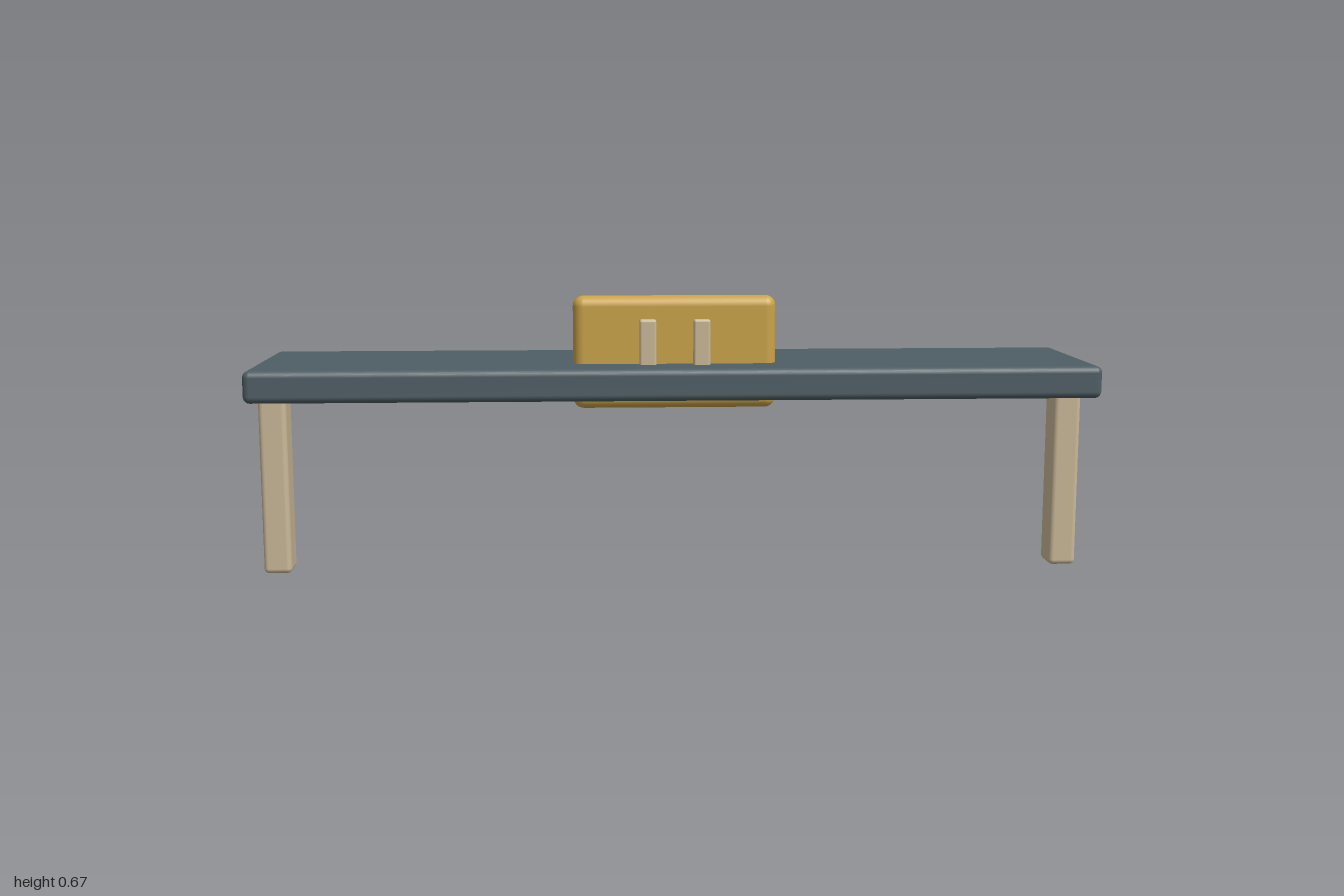
import * as THREE from 'three';
import { RoundedBoxGeometry } from 'three/addons/geometries/RoundedBoxGeometry.js';

export function createModel() {
  const model = new THREE.Group();
  model.name = 'bench';

  const material = (name, color) => {
    const m = new THREE.MeshStandardMaterial({ color });
    m.name = name;
    return m;
  };
  const slate = material('slate', 0x4f5e65);
  const gold = material('gold', 0xcaa347);
  const beige = material('beige', 0xcab998);

  // Rounded block given by its lower and upper corners
  const block = (name, mat, min, max, radius) => {
    const size = max.map((v, i) => v - min[i]);
    const mesh = new THREE.Mesh(new RoundedBoxGeometry(...size, 4, radius), mat);
    mesh.position.set(...max.map((v, i) => (v + min[i]) / 2));
    mesh.name = name;
    model.add(mesh);
  };

  // Long top board
  block('topBoard', slate, [-1, 0.429, -0.219], [1, 0.505, 0.219], 0.016);

  // Upright panel passing through the board
  block('panel', gold, [-0.243, 0.397, 0.059], [0.24, 0.666, 0.11], 0.025);

  // Two small pegs in front of the panel
  for (const [name, x] of [['rightPeg', -0.066], ['leftPeg', 0.062]]) {
    block(name, beige, [x - 0.02, 0.46, 0.109], [x + 0.02, 0.612, 0.136], 0.006);
  }

  // One leg at each end, set forward of the middle
  for (const [name, x] of [['rightLeg', -0.957], ['leftLeg', 0.953]]) {
    block(name, beige, [x - 0.033, 0, 0.021], [x + 0.033, 0.45, 0.099], 0.012);
  }

  return model;
}
